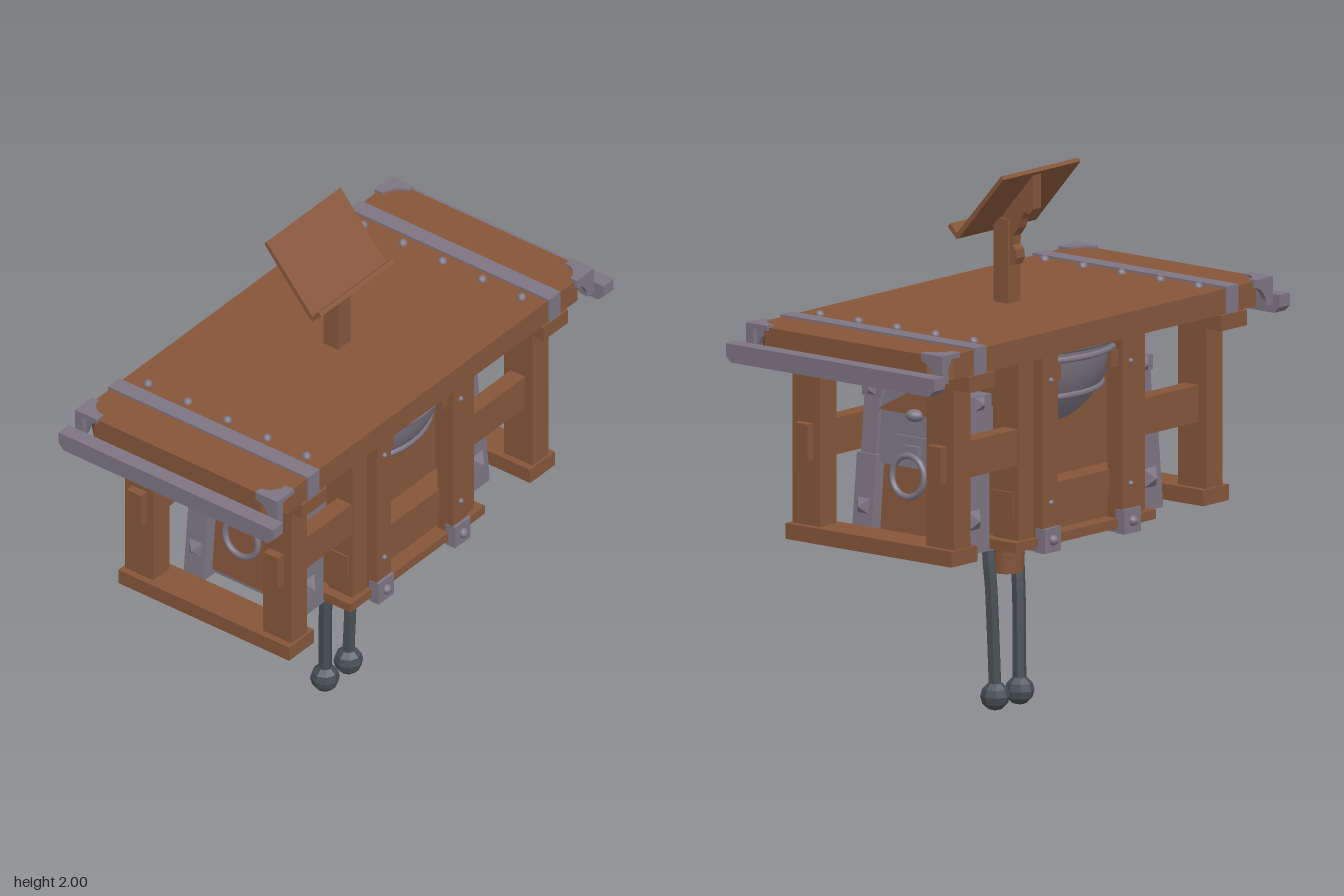
import * as THREE from 'three';

const mat = (name, color) => Object.assign(new THREE.MeshStandardMaterial({ color }), { name });

export function createModel() {
  const root = new THREE.Group();
  root.name = 'workTable';
  const wood = mat('brownWood', 0x85563a);
  const metal = mat('greyMetal', 0x7d7582);
  const iron = mat('darkIron', 0x474f54);

  const add = (name, geo, m, x = 0, y = 0, z = 0, parent = root) => {
    const mesh = new THREE.Mesh(geo, m);
    mesh.name = name;
    mesh.position.set(x, y, z);
    parent.add(mesh);
    return mesh;
  };
  // box given by its limits
  const box = (name, m, x0, x1, y0, y1, z0, z1, parent = root) =>
    add(name, new THREE.BoxGeometry(x1 - x0, y1 - y0, z1 - z0), m,
      (x0 + x1) / 2, (y0 + y1) / 2, (z0 + z1) / 2, parent);
  const flat = (g) => {
    const f = g.index ? g.toNonIndexed() : g;
    f.computeVertexNormals();
    return f;
  };
  const extrude = (pts, depth) => new THREE.ExtrudeGeometry(
    new THREE.Shape(pts.map(([a, b]) => new THREE.Vector2(a, b))),
    { depth, bevelEnabled: false });
  // profile drawn in (z, y), extruded along x about zero
  const sideExtrude = (pts, w) =>
    extrude(pts.map(([z, y]) => [-z, y]), w).translate(0, 0, -w / 2).rotateY(Math.PI / 2);
  const boltGeo = new THREE.SphereGeometry(0.018, 10, 6);
  const studGeo = flat(new THREE.ConeGeometry(0.052, 0.035, 4).rotateY(Math.PI / 4).translate(0, 0.0175, 0));
  const both = [-1, 1];

  // table top with cut corners
  const hx = 0.91, z0 = -0.46, z1 = 0.44, c = 0.07;
  const outline = [[-hx + c, -z1], [hx - c, -z1], [hx, -z1 + c], [hx, -z0 - c],
    [hx - c, -z0], [-hx + c, -z0], [-hx, -z0 - c], [-hx, -z1 + c]];
  add('tableTop', extrude(outline, 0.092).rotateX(-Math.PI / 2), wood, 0, 1.4, 0);

  // corner brackets: one curved plate on the top and one on each outer face
  const cornerPlate = (w, h, t) => {
    const s = new THREE.Shape();
    s.moveTo(0, 0);
    s.lineTo(w, 0);
    s.lineTo(w, h * 0.3);
    s.quadraticCurveTo(w * 0.5, h * 0.35, w * 0.35, h);
    s.lineTo(0, h);
    return new THREE.ExtrudeGeometry(s, { depth: t, bevelEnabled: false, curveSegments: 5 });
  };
  for (let i = 0; i < 4; i++) {
    const sx = i % 2 ? 1 : -1, sz = i < 2 ? 1 : -1;
    const g = new THREE.Group();
    g.name = 'cornerBracket';
    g.position.set(sx * 0.92, 1.5, sz > 0 ? 0.452 : -0.472);
    // the corner frame is turned so that its two arms point inwards
    g.rotation.y = sx < 0 ? (sz > 0 ? Math.PI / 2 : 0) : (sz > 0 ? Math.PI : -Math.PI / 2);
    add('topPlate', cornerPlate(0.1, 0.1, 0.018).rotateX(Math.PI / 2), metal, 0, 0, 0, g);
    add('facePlate', cornerPlate(0.1, 0.1, 0.02).rotateX(Math.PI).translate(0, 0, 0.02), metal, 0, 0, 0, g);
    add('endPlate', cornerPlate(0.1, 0.1, 0.02).rotateX(Math.PI).rotateY(-Math.PI / 2), metal, 0.02, 0, 0, g);
    box('cornerPost', metal, 0, 0.035, -0.105, 0, 0, 0.035, g);
    root.add(g);
  }

  for (const s of both) {
    // straps, rivets and end rods
    box('strap', metal, s * 0.7 - 0.033, s * 0.7 + 0.033, 1.385, 1.5, -0.467, 0.447);
    for (let k = 0; k < 5; k++) add('rivet', boltGeo, metal, s * 0.625, 1.493, -0.37 + k * 0.181);
    add('endRod', sideExtrude([[-0.49, 1.43], [-0.49, 1.385], [-0.465, 1.362], [0.465, 1.362],
      [0.49, 1.385], [0.49, 1.43]], 0.06), metal, s * 0.96, 0, -0.003);

    // trestle at each end
    box('trestleHead', wood, s * 0.7 - 0.072, s * 0.7 + 0.072, 1.343, 1.4, -0.473, 0.45);
    box('trestleFoot', wood, s * 0.7 - 0.072, s * 0.7 + 0.072, 0.69, 0.748, -0.39, 0.39);
    for (const t of both) {
      box('trestlePost', wood, s * 0.7 - 0.046, s * 0.7 + 0.046, 0.748, 1.343, t * 0.315 - 0.065, t * 0.315 + 0.065);
      box('sideBeam', wood, s * 0.53 - 0.25, s * 0.53 + 0.25, 0.99, 1.125, t * 0.313 - 0.033, t * 0.313 + 0.033);
    }
  }

  // central cabinet
  box('cabinetCore', wood, -0.34, 0.34, 0.72, 1.38, -0.24, 0.24);
  for (const t of both) {
    box('bottomBoard', wood, -0.39, 0.39, 0.68, 0.715, t * 0.29 - 0.08, t * 0.29 + 0.08);
    box('lowerPlank', wood, -0.36, 0.36, 0.8, 0.89, t * 0.28 - 0.05, t * 0.28 + 0.05);
    box('basePlank', wood, -0.34, 0.34, 0.715, 0.8, t * 0.265 - 0.045, t * 0.265 + 0.045);
    box('bottomRail', metal, -0.47, 0.47, 0.672, 0.69, t * 0.235 - 0.012, t * 0.235 + 0.012);
    for (const s of both) {
      box('cabinetBar', wood, s * 0.222 - 0.043, s * 0.222 + 0.043, 0.67, 1.4, t * 0.355 - 0.035, t * 0.355 + 0.035);
      box('outerStile', wood, s * 0.31 - 0.042, s * 0.31 + 0.042, 0.715, 1.39, t * 0.295 - 0.055, t * 0.295 + 0.055);
      box('barPeg', wood, s * 0.16 - 0.022, s * 0.16 + 0.022, 1.275, 1.335, t * 0.345 - 0.025, t * 0.345 + 0.025);
      box('barShoe', metal, s * 0.222 - 0.045, s * 0.222 + 0.045, 0.66, 0.75, t * 0.38 - 0.022, t * 0.38 + 0.022);
      for (const [y, k] of [[0.705, 1.1], [0.84, 0.6], [1.29, 0.6]])
        add('barBolt', boltGeo, metal, s * 0.222, y, t * (y < 0.8 ? 0.403 : 0.392)).scale.setScalar(k);
    }
  }
  for (const s of both) box('underStrap', metal, s * 0.222 - 0.015, s * 0.222 + 0.015, 0.655, 0.67, -0.38, 0.38);
  for (const x of [-0.3, 0.3]) box('bottomCrosspiece', wood, x - 0.05, x + 0.05, 0.685, 0.72, -0.21, 0.21);

  // bowl hanging under the table, with hoops
  const bowl = [];
  for (let i = 0; i <= 16; i++) {
    const a = (i / 16) * Math.PI / 2;
    bowl.push(new THREE.Vector2(0.39 * Math.sin(a), 1.398 - 0.39 * Math.cos(a)));
  }
  add('bowl', new THREE.LatheGeometry(bowl, 40), metal);
  for (const [y, r, t] of [[1.2, 0.338, 0.013], [1.345, 0.39, 0.012], [1.385, 0.395, 0.016]])
    add('bowlHoop', new THREE.TorusGeometry(r, t, 8, 40).rotateX(Math.PI / 2), metal, 0, y, 0);

  // slanted metal tower on each side
  for (const s of both) {
    const tower = new THREE.Group();
    tower.name = 'sideTower';
    tower.rotation.y = s > 0 ? 0 : Math.PI;
    root.add(tower);
    for (const t of both) {
      const za = t * 0.21;
      add('towerLeg', extrude([[0.4, 0.68], [0.565, 0.68], [0.535, 0.99], [0.4, 0.99]], 0.09), metal, 0, 0, za - 0.045, tower);
      add('towerUpright', extrude([[0.37, 0.99], [0.525, 0.99], [0.505, 1.2], [0.37, 1.2]], 0.07), metal, 0, 0, za - 0.035, tower);
      box('towerCap', metal, 0.39, 0.507, 1.195, 1.25, za - 0.045, za + 0.045, tower);
      add('towerShoulder', extrude([[0.39, 1.25], [0.505, 1.25], [0.49, 1.31], [0.42, 1.31]], 0.06), metal, 0, 0, t * 0.17 - 0.03, tower);
      for (const [x, y, k] of [[0.49, 0.8, 1], [0.455, 1.222, 0.7]]) {
        const f = add('frontStud', studGeo, metal, x, y, t * 0.254, tower);
        f.rotation.x = t * Math.PI / 2;
        f.scale.setScalar(k);
      }
      for (const [x, y, k] of [[0.55, 0.8, 0.85], [0.505, 1.222, 0.6]]) {
        const f = add('sideStud', studGeo, metal, x, y, za, tower);
        f.rotation.z = -Math.PI / 2;
        f.scale.setScalar(k);
      }
    }
    box('towerRail', metal, 0.45, 0.5, 0.685, 0.715, -0.2, 0.2, tower);

    // leaning wall: local x = 0 is the outer face
    const wall = new THREE.Group();
    wall.name = 'towerWall';
    wall.position.set(0.545, 0.68, 0);
    wall.rotation.z = 0.09;
    tower.add(wall);
    add('gablePanel', sideExtrude([[-0.2, 0.28], [0.2, 0.28], [0.245, 0.52], [0.1, 0.64], [-0.1, 0.64], [-0.245, 0.52]], 0.1), metal, -0.06, 0, 0, wall);
    box('lowerPanel', wood, -0.1, -0.03, 0.03, 0.3, -0.17, 0.17, wall);
    add('pediment', sideExtrude([[-0.185, 0.475], [0.185, 0.475], [0, 0.575]], 0.02), wood, -0.005, 0, 0, wall);
    add('knob', new THREE.SphereGeometry(0.034, 12, 8), metal, 0.012, 0.475, 0, wall).scale.y = 0.7;
    box('ringPlate', metal, -0.02, 0.005, 0.29, 0.395, -0.105, 0.105, wall);
    box('ringMount', metal, 0, 0.03, 0.305, 0.365, -0.035, 0.035, wall);
    add('pullRing', new THREE.TorusGeometry(0.075, 0.012, 8, 24).rotateY(Math.PI / 2), metal, 0.03, 0.255, 0, wall);
  }

  // hanging wooden plug under a metal disc
  add('underDisc', new THREE.CylinderGeometry(0.2, 0.16, 0.05, 24), metal, 0, 0.7, 0);
  add('plug', new THREE.CylinderGeometry(0.07, 0.055, 0.18, 12), wood, 0, 0.59, 0);
  add('plugBand', new THREE.CylinderGeometry(0.064, 0.06, 0.07, 12), wood, 0, 0.54, 0);

  // pair of iron arms with balls
  for (const s of both) {
    const path = new THREE.CatmullRomCurve3([[0.01, 0.665, 0.035], [0.05, 0.65, 0.032], [0.076, 0.59, 0.025],
      [0.076, 0.45, 0.012], [0.068, 0.08, 0]].map(([x, y, z]) => new THREE.Vector3(s * x, y, z)));
    add('hangingArm', flat(new THREE.TubeGeometry(path, 16, 0.025, 6)), iron);
    add('armBall', flat(new THREE.SphereGeometry(0.054, 8, 6)), iron, s * 0.068, 0.054, 0);
  }

  // reading stand
  box('standPost', wood, -0.035, 0.035, 1.49, 1.8, -0.032, 0.035);
  add('standBracket', sideExtrude([[0.03, 1.79], [-0.025, 1.63], [-0.052, 1.635], [-0.064, 1.66], [-0.06, 1.69],
    [-0.042, 1.705], [-0.045, 1.74], [-0.068, 1.77], [-0.08, 1.805], [-0.1, 1.835], [-0.125, 1.83],
    [-0.14, 1.85], [-0.14, 1.975]].reverse(), 0.045), wood);
  add('standBoard', sideExtrude([[0.075, 1.757], [0.06, 1.745], [-0.15, 1.988], [-0.14, 2]], 0.43), wood, -0.015, 0, 0);
  add('standLip', sideExtrude([[0.062, 1.755], [0.07, 1.742], [0.112, 1.782], [0.1, 1.795]], 0.43), wood, -0.015, 0, 0);

  return root;
}
